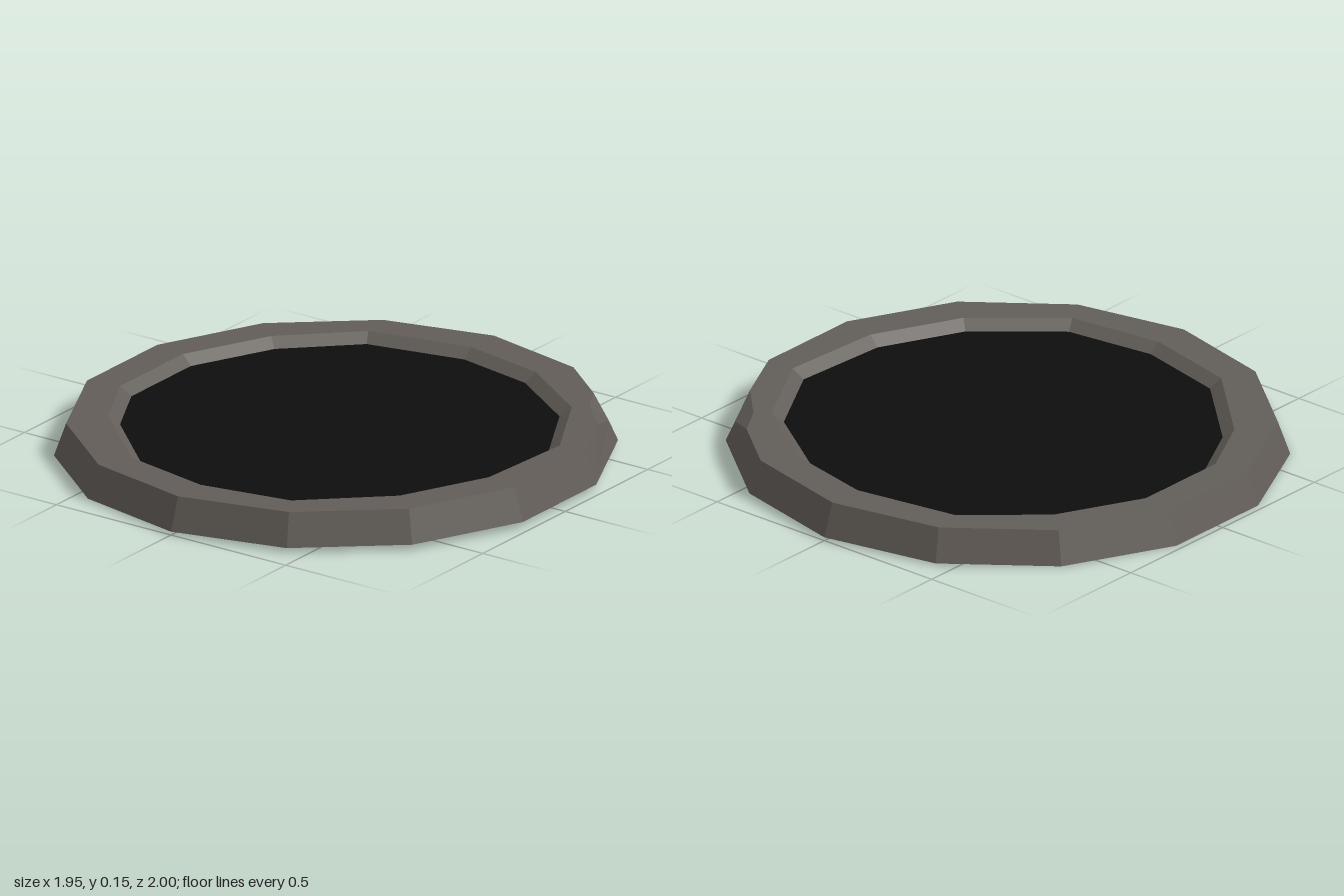
import * as THREE from 'three';

const SIDES = 14;
const TOP = 0.1355, BOTTOM = 0.0145, DISC = 0.102, TILT = 0.0128;

// Irregular inner lip (x, z), clockwise from the back
const INNER = [
  [0, -0.82], [0.33, -0.75], [0.64, -0.54], [0.825, -0.21], [0.8, 0.185], [0.645, 0.51], [0.355, 0.765],
  [0, 0.82], [-0.36, 0.74], [-0.67, 0.45], [-0.805, 0.19], [-0.805, -0.19], [-0.65, -0.51], [-0.395, -0.745],
];

// The whole piece leans slightly, rising towards +x
const point = (x, y, z) => [x, y + TILT * x, z];

function ring(radius, y) {
  return INNER.map((_, i) => {
    const a = (i / SIDES) * Math.PI * 2;
    return point(radius * Math.sin(a), y, -radius * Math.cos(a));
  });
}

// Mesh from convex polygons, each split into a fan
function polygonMesh(name, polygons, material) {
  const positions = [];
  for (const p of polygons) {
    for (let i = 1; i < p.length - 1; i++) positions.push(...p[0], ...p[i], ...p[i + 1]);
  }
  const geometry = new THREE.BufferGeometry();
  geometry.setAttribute('position', new THREE.Float32BufferAttribute(positions, 3));
  geometry.computeVertexNormals();
  const mesh = new THREE.Mesh(geometry, material);
  mesh.name = name;
  return mesh;
}

export function createModel() {
  const stone = new THREE.MeshStandardMaterial({ color: 0x625d58, flatShading: true, side: THREE.DoubleSide });
  stone.name = 'grey stone';
  const black = new THREE.MeshStandardMaterial({ color: 0x0e0e0e, flatShading: true, side: THREE.DoubleSide });
  black.name = 'black';

  const base = ring(1, BOTTOM);
  const rim = ring(0.957, TOP);
  const lip = INNER.map(([x, z]) => point(x, TOP, z));
  const low = INNER.map(([x, z]) => point(x * 0.948, DISC, z * 0.948));

  // Chip broken out of the rim at corner 2
  const chipStart = point(0.62, TOP, -0.699);
  const chipInner = point(0.69, TOP, -0.58);
  const chipEnd = point(0.82, TOP, -0.447);
  const chipLow = point(0.756, 0.09, -0.603);

  const outer = [], top = [], inner = [];
  for (let i = 0; i < SIDES; i++) {
    const j = (i + 1) % SIDES;
    const before = i === 1, after = i === 2;
    outer.push([
      base[j], base[i],
      ...(after ? [chipLow, chipEnd] : [rim[i]]),
      ...(before ? [chipStart, chipLow] : [rim[j]]),
    ]);
    top.push([
      lip[i], lip[j],
      ...(before ? [chipInner, chipStart] : [rim[j]]),
      ...(after ? [chipEnd, chipInner] : [rim[i]]),
    ]);
    inner.push([low[i], low[j], lip[j], lip[i]]);
  }

  const model = new THREE.Group();
  model.name = 'stoneRing';
  model.add(
    polygonMesh('outerWall', outer, stone),
    polygonMesh('topFace', top, stone),
    polygonMesh('innerWall', inner, stone),
    polygonMesh('rimChip', [[chipStart, chipInner, chipLow], [chipInner, chipEnd, chipLow]], stone),
    polygonMesh('centreDisc', [[...low].reverse()], black),
  );
  return model;
}
